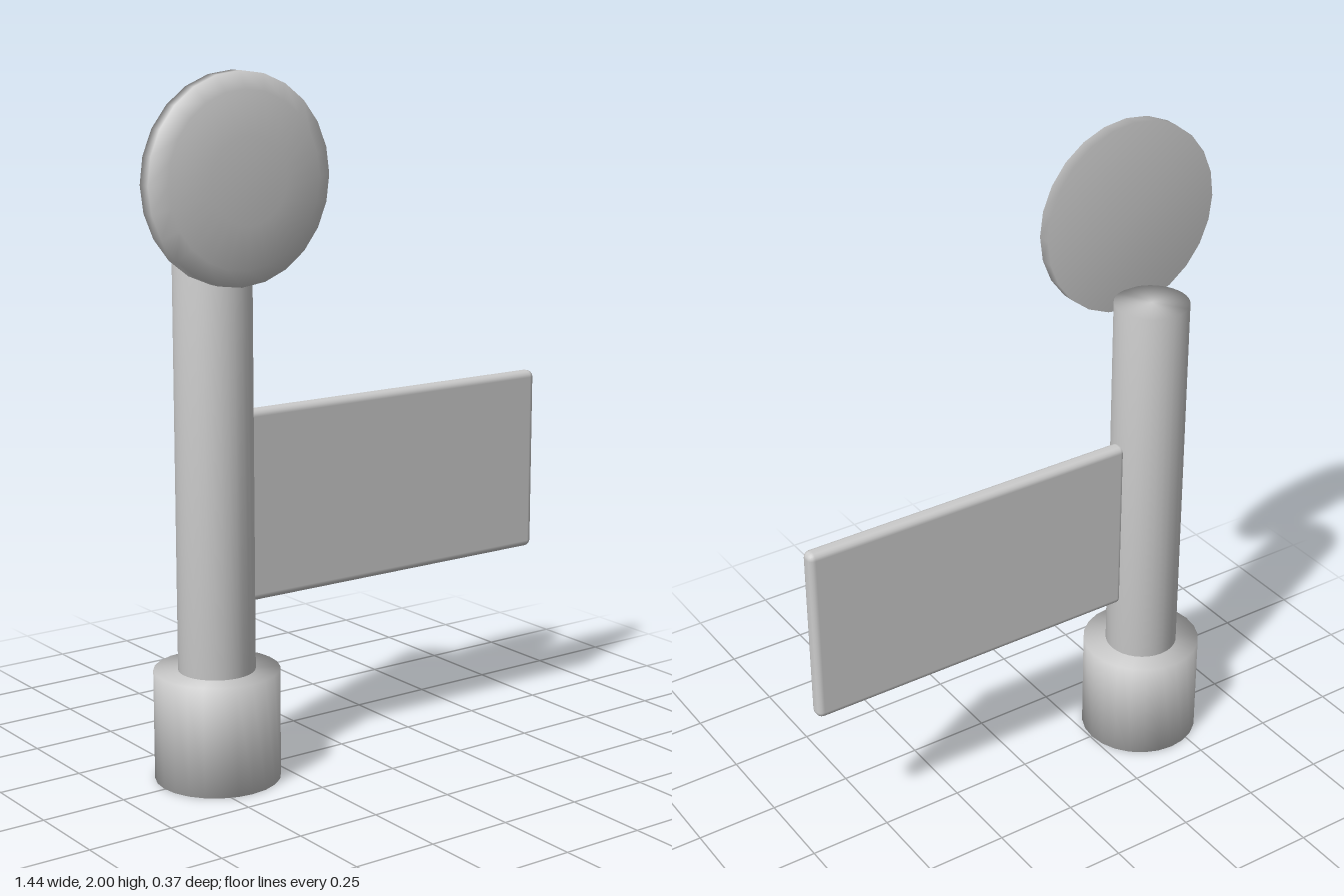
import * as THREE from 'three';
import { RoundedBoxGeometry } from 'three/addons/geometries/RoundedBoxGeometry.js';

const POST_X = -0.435;
const POST_Z = -0.003;

export function createModel() {
  const model = new THREE.Group();
  const material = new THREE.MeshStandardMaterial({ color: 0xcccccc });

  const add = (name, geometry, x, y, z) => {
    const mesh = new THREE.Mesh(geometry, material);
    mesh.name = name;
    mesh.position.set(x, y, z);
    model.add(mesh);
    return mesh;
  };

  // Turned solid from [radius, height] pairs, bottom to top, softly shaded over its edges
  const turned = (profile, sides) =>
    new THREE.LatheGeometry(profile.map(([r, h]) => new THREE.Vector2(r, h)), sides);

  // Wide foot and slim post
  add('base', turned([[0, 0], [0.18, 0], [0.18, 0.32], [0, 0.32]], 24), POST_X, 0, POST_Z);
  add('post', turned([[0, 0.3], [0.11, 0.3], [0.11, 1.49], [0, 1.49]], 32), POST_X, 0, POST_Z);

  // Domed disc on the front of the post top, flat side to the back
  const disc = add(
    'disc',
    turned([[0, 0], [0.288, 0], [0.288, 0.04], [0.24, 0.063], [0.12, 0.081], [0, 0.081]], 24),
    POST_X, 1.712, 0.104
  );
  disc.rotation.x = Math.PI / 2;

  // Thin side panel with softened edges
  const left = -0.34, right = 0.72, bottom = 0.5, top = 1.055;
  add(
    'sidePanel',
    new RoundedBoxGeometry(right - left, top - bottom, 0.048, 2, 0.02),
    (left + right) / 2, (bottom + top) / 2, POST_Z - 0.002
  );

  return model;
}
